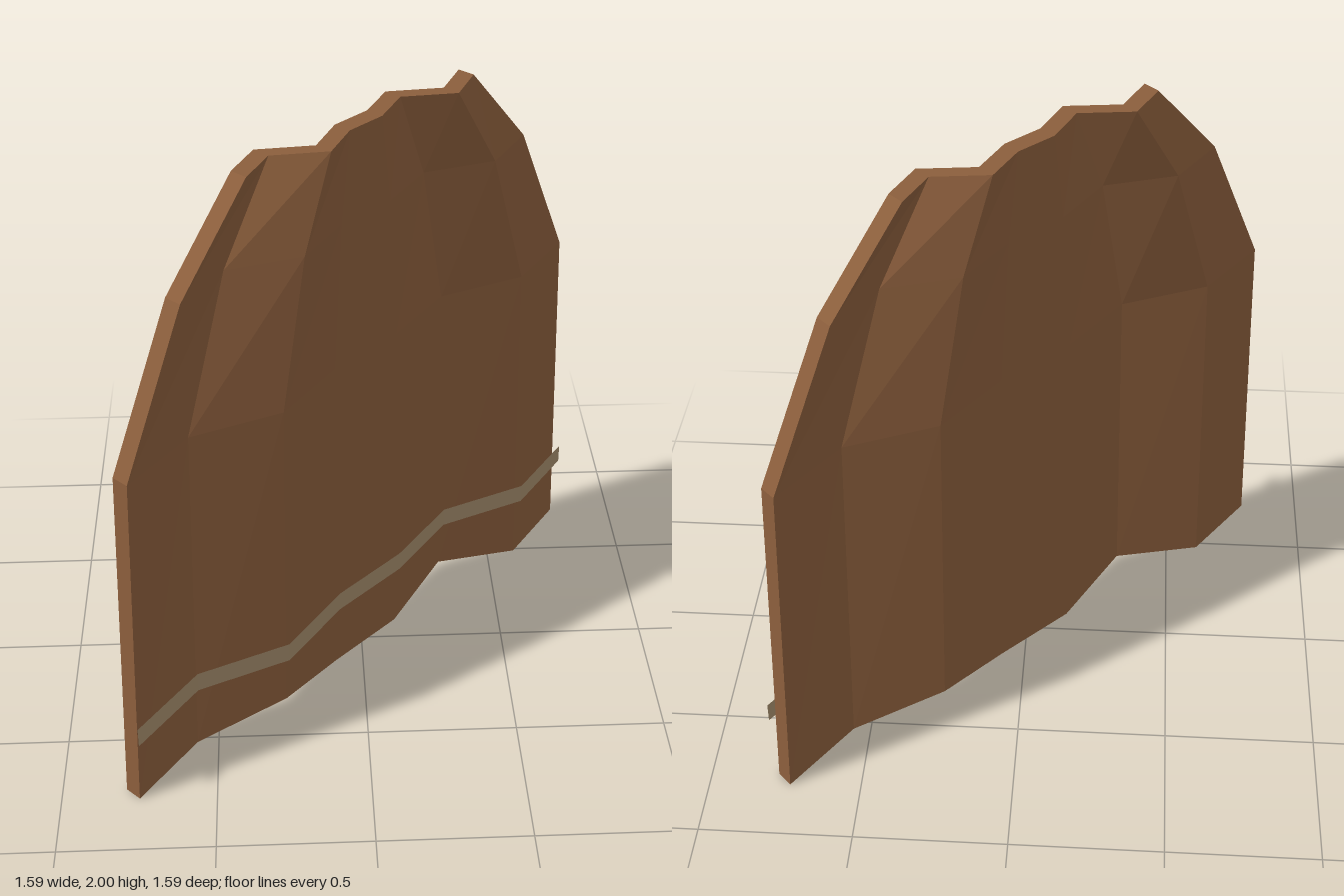
import * as THREE from 'three';

const COLUMNS = 8;
const BASE = 0.02;        // depth of the outer face
const THICKNESS = 0.062;
const FOLDS = [0, -0.055, 0.06, 0, 0, -0.055, 0.06, 0];
const ROWS = [            // height and half width, hem to neck
  { y: 0, half: 1.08 },
  { y: 1.2, half: 1.03 },
  { y: 1.7, half: 0.785 },
  { y: 2, half: 0.508 },
];

const clothBrown = new THREE.MeshStandardMaterial({ color: 0x8b5e3c, flatShading: true });
const trimTan = new THREE.MeshStandardMaterial({ color: 0xa48c6c, flatShading: true, side: THREE.DoubleSide });

function makeGeometry(points, index) {
  const geometry = new THREE.BufferGeometry().setFromPoints(points);
  geometry.setIndex(index);
  const flat = geometry.toNonIndexed();
  flat.computeVertexNormals();
  return flat;
}

const across = (i, half) => half * (2 * i / (COLUMNS - 1) - 1);

// Pleated cloth: a closed cross-section per row, outer face then inner face
function clothGeometry() {
  const points = [], index = [];
  const ring = COLUMNS * 2;
  const quad = (a, b, c, d) => index.push(a, b, c, a, c, d);

  ROWS.forEach(({ y, half }, r) => {
    for (let k = 0; k < ring; k++) {
      const outer = k < COLUMNS;
      const i = outer ? k : ring - 1 - k;
      const lift = r === 0 && (i === 2 || i === 5) ? 0.06 : 0; // scalloped hem
      points.push(new THREE.Vector3(across(i, half), y + lift, BASE + FOLDS[i] - (outer ? 0 : THICKNESS)));
    }
  });

  for (let r = 0; r < ROWS.length - 1; r++) {
    for (let k = 0; k < ring; k++) {
      const a = r * ring + k, b = r * ring + (k + 1) % ring;
      quad(a, b, b + ring, a + ring);
    }
  }

  // Neck edge and hem edge
  const top = (ROWS.length - 1) * ring;
  for (let i = 0; i < COLUMNS - 1; i++) {
    const back = ring - 1 - i;
    quad(top + i, top + i + 1, top + back - 1, top + back);
    quad(i, back, back - 1, i + 1);
  }
  return makeGeometry(points, index);
}

// Trim strip following the folds just outside the cloth
function trimGeometry() {
  const points = [], index = [];
  for (let i = 0; i < COLUMNS; i++) {
    for (const y of [0.24, 0.308]) {
      points.push(new THREE.Vector3(across(i, 1.083), y, BASE + FOLDS[i] + 0.021));
    }
    if (i < COLUMNS - 1) {
      const a = i * 2;
      index.push(a, a + 2, a + 3, a, a + 3, a + 1);
    }
  }
  return makeGeometry(points, index);
}

export function createModel() {
  const model = new THREE.Group();
  model.name = 'pleatedCape';

  const cloth = new THREE.Mesh(clothGeometry(), clothBrown);
  cloth.name = 'cloth';
  const trim = new THREE.Mesh(trimGeometry(), trimTan);
  trim.name = 'hemTrim';

  // The cape hangs diagonally
  const cape = new THREE.Group();
  cape.name = 'cape';
  cape.rotation.y = Math.PI / 4;
  cape.add(cloth, trim);
  model.add(cape);
  return model;
}
